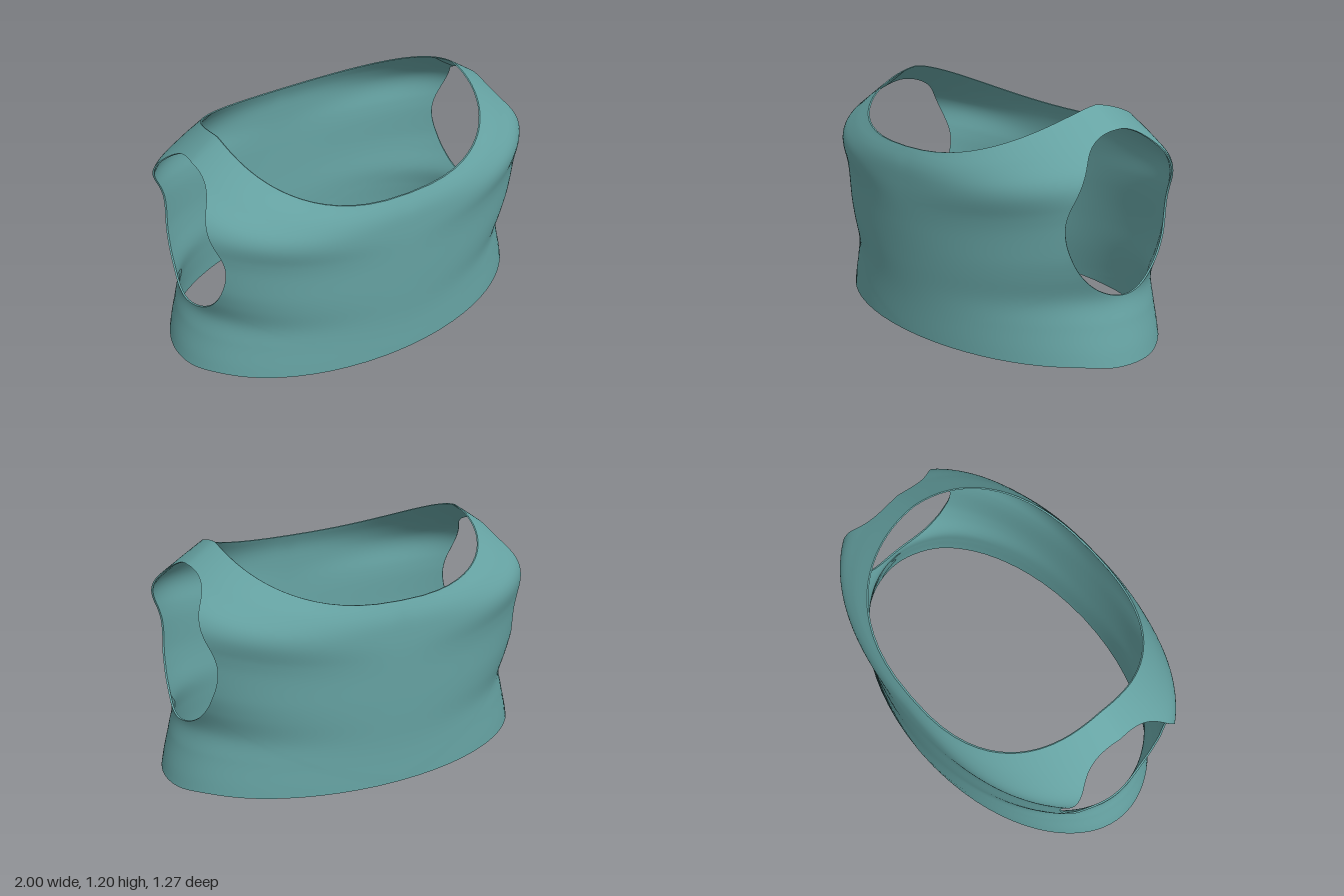
import * as THREE from 'three';
import { mergeVertices } from 'three/addons/utils/BufferGeometryUtils.js';

// smooth curve through [t, value] keys
function curve(keys) {
  const c = new THREE.CubicInterpolant(keys.map(k => k[0]), keys.map(k => k[1]), 1, new Float32Array(1));
  return t => c.evaluate(t)[0];
}

// half width, half depth and squareness of the body from hem (t = 0) to neckline (t = 1)
const halfWidth = curve([[0, 1], [0.06, 0.985], [0.167, 0.952], [0.275, 0.926], [0.4, 0.975], [0.5, 1.015],
  [0.633, 1.04], [0.75, 1.03], [0.85, 0.953], [0.915, 0.84], [1, 0.69]]);
const halfDepth = curve([[0, 0.62], [0.2, 0.617], [0.4, 0.624], [0.6, 0.63], [0.82, 0.632], [0.93, 0.622], [1, 0.595]]);
const squareness = curve([[0, 2], [0.4, 2], [0.7, 2], [0.85, 2.4], [1, 2.4]]);

// c runs from 1 at the front centre to -1 at the back centre
const hemY = c => 0.02 * THREE.MathUtils.smoothstep(Math.abs(c), 0.15, 0.5);
const neckY = c => 1.2 - 0.23 * Math.pow(Math.abs(c), 1.4);

function bodyPoint(phi, t, side) {
  const c = Math.cos(phi), n = squareness(t);
  const x = halfWidth(t) * Math.pow(Math.max(0, 1 - Math.pow(Math.abs(c), n)), 1 / n);
  return [side * x, THREE.MathUtils.lerp(hemY(c), neckY(c), t), halfDepth(t) * c];
}

// body coordinates (phi, t) of a point on the elliptical armhole
function armholeCoords(theta) {
  const y = 0.716 + 0.389 * Math.sin(theta), z = -0.007 + 0.353 * Math.cos(theta);
  let c = 0, t = 0.6;
  for (let i = 0; i < 8; i++) {
    c = z / halfDepth(t);
    t = (y - hemY(c)) / (neckY(c) - hemY(c));
  }
  return [Math.acos(c), t];
}

// outer surface: each half is a set of rings growing from the armhole to the edges
function outerShell() {
  const N = 160, M = 26, pos = [], index = [];
  for (const side of [1, -1]) {
    const base = pos.length / 3;
    for (let j = 0; j <= M; j++) {
      for (let i = 0; i < N; i++) {
        const a = (i / N) * Math.PI * 2, ca = Math.cos(a), sa = Math.sin(a);
        const m = Math.max(Math.abs(ca), Math.abs(sa));
        const [p0, t0] = armholeCoords(a);
        const p1 = Math.PI / 2 * (1 - ca / m), t1 = 0.5 + 0.5 * sa / m;
        const k = j / M;
        pos.push(...bodyPoint(p0 + (p1 - p0) * k, t0 + (t1 - t0) * k, side));
        if (j === M) continue;
        const i2 = (i + 1) % N;
        const A = base + j * N + i, B = base + j * N + i2, C = A + N, D = B + N;
        if (side > 0) index.push(A, B, C, B, D, C);
        else index.push(A, C, B, B, C, D);
      }
    }
  }
  let g = new THREE.BufferGeometry();
  g.setAttribute('position', new THREE.Float32BufferAttribute(pos, 3));
  g.setIndex(index);
  g = mergeVertices(g, 1e-4);
  g.computeVertexNormals();
  return g;
}

// lining: outer surface moved inwards and turned round
function innerShell(outer, thickness) {
  const g = outer.clone(), p = g.attributes.position, n = outer.attributes.normal;
  for (let i = 0; i < p.count; i++) {
    p.setXYZ(i, p.getX(i) - n.getX(i) * thickness, p.getY(i) - n.getY(i) * thickness * 0.3,
      p.getZ(i) - n.getZ(i) * thickness);
  }
  g.setIndex(Array.from(outer.index.array).reverse());
  g.computeVertexNormals();
  return g;
}

// rims: a strip between both shells along every open edge
function rimStrips(outer, inner) {
  const idx = outer.index.array, open = new Map();
  for (let f = 0; f < idx.length; f += 3) {
    for (let e = 0; e < 3; e++) {
      const a = idx[f + e], b = idx[f + (e + 1) % 3];
      if (!open.delete(b + '_' + a)) open.set(a + '_' + b, [a, b]);
    }
  }
  const pos = [], po = outer.attributes.position, pi = inner.attributes.position;
  const put = (p, i) => pos.push(p.getX(i), p.getY(i), p.getZ(i));
  for (const [a, b] of open.values()) {
    put(po, b); put(po, a); put(pi, a);
    put(po, b); put(pi, a); put(pi, b);
  }
  const g = new THREE.BufferGeometry();
  g.setAttribute('position', new THREE.Float32BufferAttribute(pos, 3));
  g.computeVertexNormals();
  return g;
}

export function createModel() {
  const group = new THREE.Group();
  group.name = 'sleevelessTop';
  const cloth = new THREE.MeshStandardMaterial({ color: 0x66a3a3 });
  const outer = outerShell();
  const inner = innerShell(outer, 0.01);
  const parts = { outerCloth: outer, innerCloth: inner, clothEdges: rimStrips(outer, inner) };
  for (const [name, geometry] of Object.entries(parts)) {
    const mesh = new THREE.Mesh(geometry, cloth);
    mesh.name = name;
    group.add(mesh);
  }
  return group;
}
